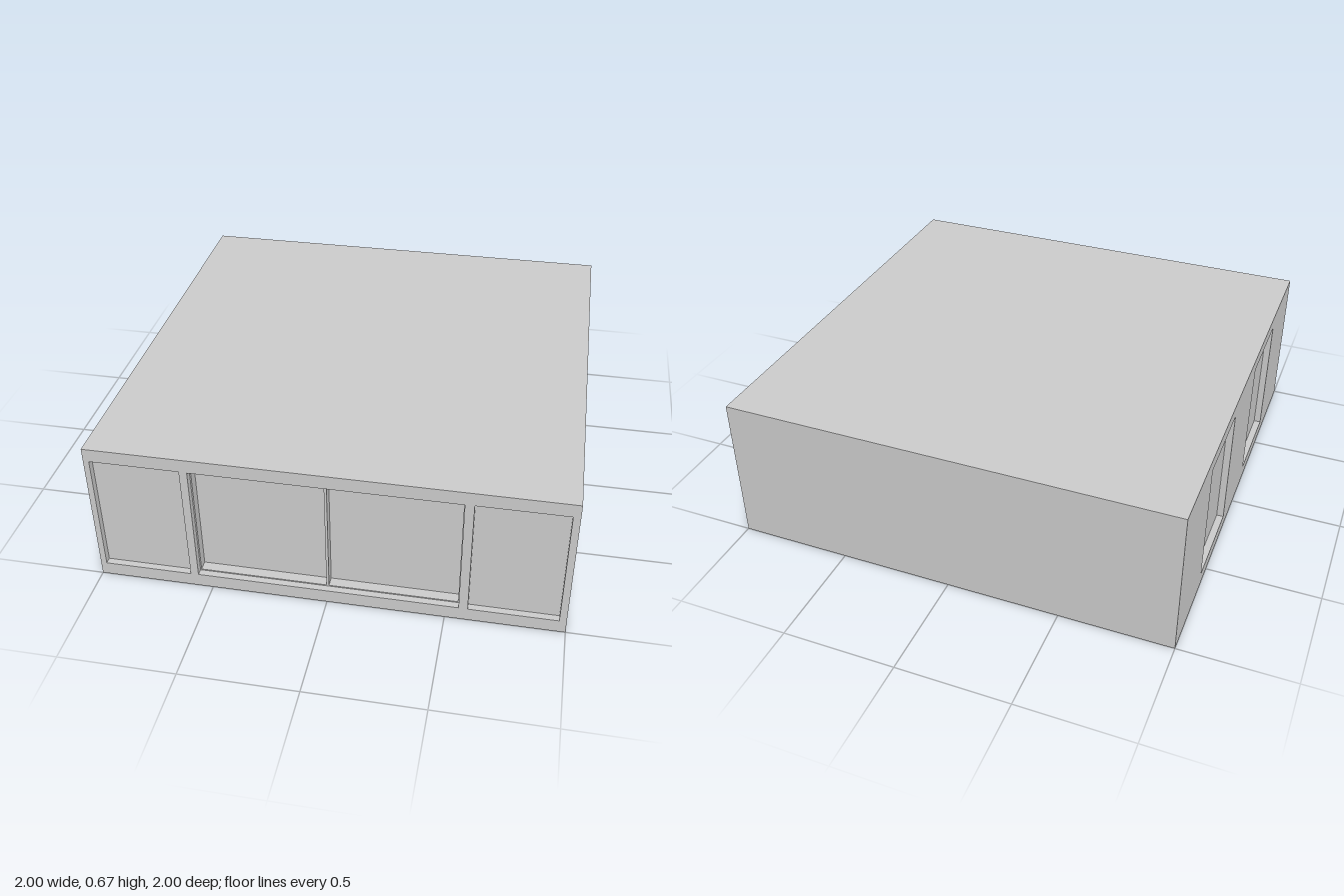
import * as THREE from 'three';

const H = 0.67;        // building height
const RECESS = 0.03;   // depth of a window reveal
const material = new THREE.MeshStandardMaterial({ color: 0xcccccc, flatShading: true });

// Rectangles are [x0, x1, y0, y1]; corners run anticlockwise.
const corners = ([x0, x1, y0, y1]) => [[x0, y0], [x1, y0], [x1, y1], [x0, y1]];
const toPoints = (rect) => corners(rect).map(([x, y]) => new THREE.Vector2(x, y));

function addMesh(parent, name, geometry) {
  const mesh = new THREE.Mesh(geometry, material);
  mesh.name = name;
  parent.add(mesh);
  return mesh;
}

// Flat sheet facing +z with rectangular holes
function sheet(parent, name, rect, z, holes = []) {
  const shape = new THREE.Shape(toPoints(rect));
  holes.forEach((hole) => shape.holes.push(new THREE.Path(toPoints(hole))));
  addMesh(parent, name, new THREE.ShapeGeometry(shape).translate(0, 0, z));
}

// Four inward-facing sides of an opening, from z down to z - depth
function reveal(parent, name, rect, z, depth) {
  const ring = corners(rect);
  const positions = [];
  ring.forEach(([ax, ay], i) => {
    const [bx, by] = ring[(i + 1) % 4];
    const a = [ax, ay, z], b = [bx, by, z];
    const c = [bx, by, z - depth], d = [ax, ay, z - depth];
    positions.push(...a, ...b, ...c, ...a, ...c, ...d);
  });
  const geometry = new THREE.BufferGeometry();
  geometry.setAttribute('position', new THREE.Float32BufferAttribute(positions, 3));
  geometry.computeVertexNormals();
  addMesh(parent, name, geometry);
}

// Recessed opening closed by a flat pane
function recessedWindow(parent, rect, z, depth) {
  const group = new THREE.Group();
  group.name = 'window';
  reveal(group, 'windowReveal', rect, z, depth);
  sheet(group, 'windowPane', rect, z - depth);
  parent.add(group);
}

// One outside wall, turned about y to its side of the building
function wall(name, angle, windows = [], otherHoles = []) {
  const group = new THREE.Group();
  group.name = name;
  sheet(group, 'wallFace', [-1, 1, 0, H], 1, [...windows, ...otherHoles]);
  windows.forEach((rect) => recessedWindow(group, rect, 1, RECESS));
  group.rotation.y = angle;
  return group;
}

export function createModel() {
  const model = new THREE.Group();
  model.name = 'building';

  // Front wall: a window at each end and a wide opening between them
  const entrance = [-0.561, 0.557, 0.061, 0.609];
  const front = wall('frontWall', 0,
    [[-0.975, -0.595, 0.06, 0.61], [0.595, 0.97, 0.06, 0.61]], [entrance]);
  model.add(front);

  // Wide opening: slim frame with two deeper-set panels
  const panels = [[-0.556, -0.007, 0.066, 0.604], [0.004, 0.552, 0.066, 0.604]];
  reveal(front, 'entranceReveal', entrance, 1, RECESS);
  sheet(front, 'entranceFrame', entrance, 1 - RECESS, panels);
  panels.forEach((rect) => recessedWindow(front, rect, 1 - RECESS, 0.045));

  // Side walls with two windows each, and a plain back
  const sideWindows = [[-0.6, -0.2, 0.06, 0.61], [0.2, 0.6, 0.06, 0.61]];
  model.add(wall('leftWall', Math.PI / 2, sideWindows));
  model.add(wall('rightWall', -Math.PI / 2, sideWindows));
  model.add(wall('backWall', Math.PI));

  // Flat roof and underside
  addMesh(model, 'roof', new THREE.PlaneGeometry(2, 2).rotateX(-Math.PI / 2).translate(0, H, 0));
  addMesh(model, 'floor', new THREE.PlaneGeometry(2, 2).rotateX(Math.PI / 2));

  return model;
}
